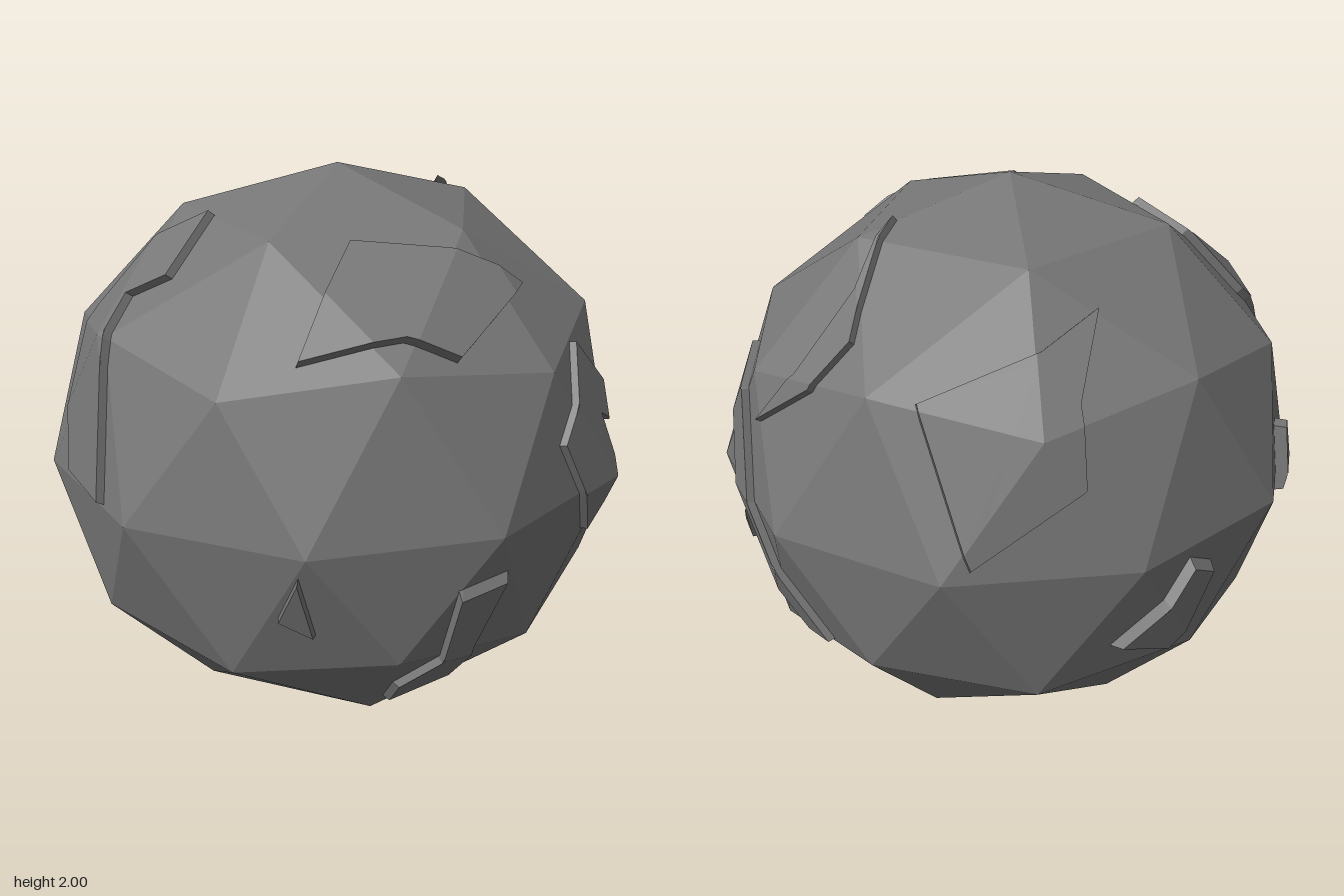
import * as THREE from 'three';

const V = (x, y, z) => new THREE.Vector3(x, y, z);

// Faceted ball with a corner at each pole, slightly wider than deep
function ballGeometry() {
  const g = new THREE.IcosahedronGeometry(1, 1);
  g.rotateX(-Math.atan((1 + Math.sqrt(5)) / 2));
  g.rotateY(Math.PI / 2);
  return g.scale(1.035, 1, 1);
}

function facetsOf(geometry) {
  const p = geometry.attributes.position, list = [];
  for (let i = 0; i < p.count; i += 3) {
    const pts = [0, 1, 2].map(k => new THREE.Vector3().fromBufferAttribute(p, i + k));
    const n = pts[1].clone().sub(pts[0]).cross(pts[2].clone().sub(pts[0])).normalize();
    list.push({ pts, n, d: n.dot(pts[0]) });
  }
  return list;
}

// Directions for an outline drawn flat on one side: [x, y] on front or back, [z, y] on left or right
const project = {
  front: (a, y) => V(a, y, Math.sqrt(1 - a * a - y * y)),
  back: (a, y) => V(a, y, -Math.sqrt(1 - a * a - y * y)),
  left: (a, y) => V(Math.sqrt(1 - a * a - y * y), y, a),
  right: (a, y) => V(-Math.sqrt(1 - a * a - y * y), y, a),
};

// Keep the part of a polygon on the positive side of a plane through the centre
function clip(poly, n) {
  const out = [];
  poly.forEach((a, i) => {
    const b = poly[(i + 1) % poly.length], da = a.dot(n), db = b.dot(n);
    if (da >= 0) out.push(a);
    if (da * db < 0) out.push(a.clone().lerp(b, da / (da - db)));
  });
  return out;
}

// Raised plate that follows the ball's facets, with slightly sloping walls
function plateGeometry(facets, side, height, inset, outline) {
  let base = outline.map(([a, y]) => project[side](a, y));
  const mid = base.reduce((s, p) => s.add(p), V(0, 0, 0)).normalize();
  const u = V(0, 1, 0).cross(mid).normalize(), w = mid.clone().cross(u);
  const flat = p => new THREE.Vector2(p.dot(u) / p.dot(mid), p.dot(w) / p.dot(mid));
  if (THREE.ShapeUtils.isClockWise(base.map(flat))) base = base.reverse();
  const top = base.map(p => p.clone().lerp(mid, inset).normalize());
  const out = [];
  const tri = (...pts) => pts.forEach(p => out.push(p.x, p.y, p.z));
  const onBall = (dir, lift) => {
    let r = 2;
    for (const f of facets) {
      const c = f.n.dot(dir);
      if (c > 0.1) r = Math.min(r, f.d / c);
    }
    return dir.clone().multiplyScalar(r * lift);
  };

  // Top face
  for (const ids of THREE.ShapeUtils.triangulateShape(top.map(flat), [])) {
    const [a, b, c] = ids.map(i => top[i]);
    const sign = Math.sign(a.clone().cross(b).dot(c));
    const cuts = [[a, b], [b, c], [c, a]].map(([s, e]) => s.clone().cross(e).multiplyScalar(sign));
    for (const f of facets) {
      if (f.n.dot(mid) < -0.2) continue;
      const poly = cuts.reduce(clip, f.pts).map(p => p.clone().multiplyScalar(1 + height));
      for (let i = 1; i + 1 < poly.length; i++) tri(poly[0], poly[i], poly[i + 1]);
    }
  }

  // Walls
  const steps = 10;
  base.forEach((a, i) => {
    const j = (i + 1) % base.length;
    for (let k = 0; k < steps; k++) {
      const [b0, b1] = [k, k + 1].map(t => onBall(a.clone().lerp(base[j], t / steps), 0.995));
      const [t0, t1] = [k, k + 1].map(t => onBall(top[i].clone().lerp(top[j], t / steps), 1 + height));
      tri(b0, b1, t1);
      tri(b0, t1, t0);
    }
  });

  const g = new THREE.BufferGeometry();
  g.setAttribute('position', new THREE.Float32BufferAttribute(out, 3));
  g.computeVertexNormals();
  return g;
}

export function createModel() {
  const stone = new THREE.MeshStandardMaterial({ color: 0x777777, flatShading: true });
  stone.name = 'grey stone';
  const model = new THREE.Group();
  model.name = 'plated boulder';

  const add = (name, geometry) => {
    const mesh = new THREE.Mesh(geometry, stone);
    mesh.name = name;
    mesh.position.set(-0.011, 1, 0);
    model.add(mesh);
  };
  const ball = ballGeometry(), facets = facetsOf(ball);
  const plate = (name, side, height, inset, outline) =>
    add(name, plateGeometry(facets, side, height, inset, outline));

  add('boulder', ball);

  // Front plates
  plate('upperFrontPlate', 'front', 0.045, 0.04,
    [[-0.54, 0.56], [-0.23, 0.87], [0.07, 0.82], [0.32, 0.69], [-0.06, 0.55], [-0.22, 0.62]]);
  plate('notchedFrontPlate', 'front', 0.025, 0.03,
    [[0.32, 0.21], [0.49, 0.49], [0.76, 0.2], [0.68, 0.16], [0.6, 0.22], [0.63, 0.02], [0.5, -0.18]]);
  plate('lowerFrontPlate', 'front', 0.03, 0.1,
    [[-0.13, -0.18], [0.07, -0.16], [0.01, -0.47], [0.03, -0.7], [-0.18, -0.78], [-0.22, -0.65], [-0.12, -0.5]]);
  plate('smallFrontPlate', 'front', 0.03, 0.12, [[-0.62, -0.07], [-0.55, -0.34], [-0.66, -0.26]]);

  // Left side plates
  plate('sideStrip', 'left', 0.027, 0.02,
    [[0.2, 0.47], [0.08, 0], [-0.2, -0.48], [-0.32, -0.47], [-0.07, 0], [0.05, 0.36]]);
  plate('upperSidePlate', 'left', 0.025, 0.02,
    [[0, 0.91], [-0.32, 0.64], [-0.29, 0.48], [-0.1, 0.31], [-0.2, 0.5], [-0.18, 0.76]]);
  plate('smallSidePlate', 'left', 0.025, 0.1, [[0.1, -0.12], [0.15, -0.28], [0.18, -0.21]]);
  plate('lowerSidePlate', 'left', 0.012, 0.1, [[0.42, -0.62], [0.33, -0.63], [0.24, -0.77]]);

  // Back plates
  plate('upperBackPlate', 'back', 0.035, 0.05,
    [[-0.02, 0.77], [0.22, 0.68], [0.6, 0.53], [0.53, 0.04], [0.17, 0.29], [0.14, 0.54]]);
  plate('smallBackPlate', 'back', 0.045, 0.1, [[-0.75, 0.18], [-0.79, 0.18], [-0.86, -0.08], [-0.74, -0.07]]);
  plate('lowerBackPlate', 'back', 0.04, 0.15, [[-0.22, -0.04], [-0.34, -0.11], [-0.17, -0.44], [0.05, -0.37]]);

  // Right side plate
  plate('rightSidePlate', 'right', 0.03, 0.03,
    [[-0.08, 0.89], [0.04, 0.73], [-0.07, 0.64], [0.03, 0.51], [0.15, 0.01], [-0.1, 0.03], [-0.28, 0.55], [-0.22, 0.79]]);

  return model;
}
